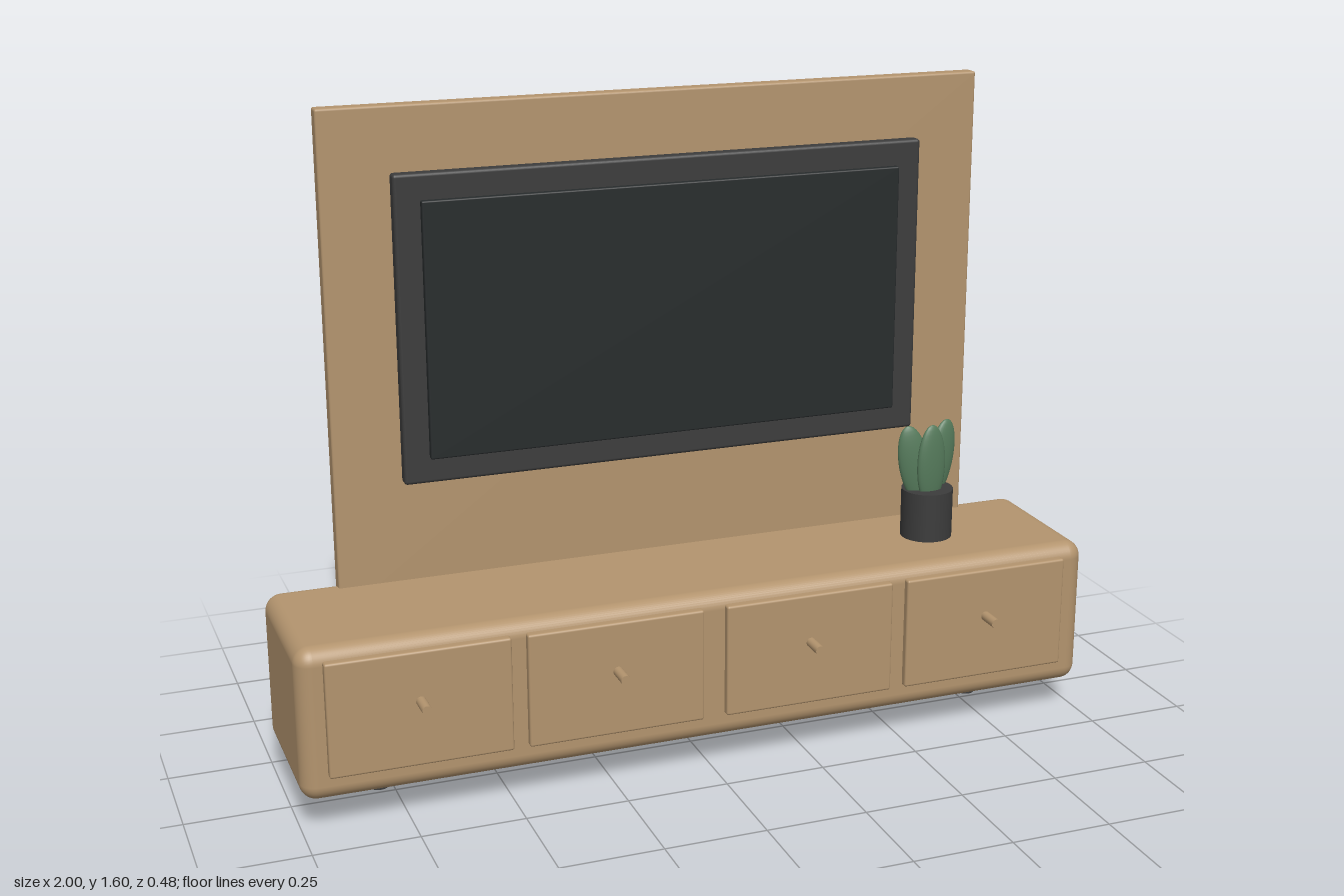
import * as THREE from 'three';
import { RoundedBoxGeometry } from 'three/addons/geometries/RoundedBoxGeometry.js';

const material = (color) => new THREE.MeshStandardMaterial({ color });

export function createModel() {
  const model = new THREE.Group();
  const wood = material(0xb3946e);
  const dark = material(0x3c3c3c);
  const glass = material(0x272b2c);
  const green = material(0x557a5b);

  const add = (name, geometry, mat, x, y, z, parent = model) => {
    const mesh = new THREE.Mesh(geometry, mat);
    mesh.name = name;
    mesh.position.set(x, y, z);
    parent.add(mesh);
    return mesh;
  };
  // Rounded box given by its lower and upper limits on each axis
  const box = (name, mat, [x0, x1], [y0, y1], [z0, z1], radius, segments = 3) =>
    add(name, new RoundedBoxGeometry(x1 - x0, y1 - y0, z1 - z0, segments, radius), mat,
      (x0 + x1) / 2, (y0 + y1) / 2, (z0 + z1) / 2);

  // Low cabinet and back panel
  box('cabinet', wood, [-1, 1], [0.08, 0.455], [-0.237, 0.167], 0.04, 5);
  box('backPanel', wood, [-0.825, 0.825], [0.38, 1.6], [-0.226, -0.186], 0.006);

  // Television
  box('televisionFrame', dark, [-0.662, 0.662], [0.705, 1.447], [-0.187, -0.152], 0.008);
  box('televisionScreen', glass, [-0.6, 0.6], [0.767, 1.385], [-0.16, -0.137], 0.004);

  // Drawer fronts with peg handles
  const handle = new THREE.CylinderGeometry(0.012, 0.012, 0.07, 20).rotateX(Math.PI / 2);
  for (const x of [-0.722, -0.25, 0.242, 0.715]) {
    box('drawerFront', wood, [x - 0.217, x + 0.217], [0.145, 0.427], [0.15, 0.185], 0.006);
    add('drawerHandle', handle, wood, x, 0.305, 0.207);
  }

  // Legs
  const leg = new THREE.CylinderGeometry(0.022, 0.022, 0.09, 24);
  for (const side of [-1, 1]) add('leg', leg, dark, side * 0.783, 0.045, -0.033);

  // Potted plant
  const plant = new THREE.Group();
  plant.name = 'pottedPlant';
  plant.position.set(0.653, 0.455, -0.035);
  model.add(plant);
  add('pot', new THREE.CylinderGeometry(0.065, 0.065, 0.127, 40), dark, 0, 0.0615, 0, plant);

  // Flat oval leaves: x, z, sideways lean, turn
  const leafShape = new THREE.SphereGeometry(1, 24, 18).scale(0.04, 0.105, 0.016);
  for (const [x, z, lean, turn] of [
    [0, 0.018, 0, 0.1],
    [-0.039, 0.002, 0.2, -0.15],
    [0.042, -0.018, -0.2, 0.2],
  ]) {
    const leaf = add('leaf', leafShape, green, x, 0.19, z, plant);
    leaf.rotation.set(0, turn, lean);
  }

  return model;
}
